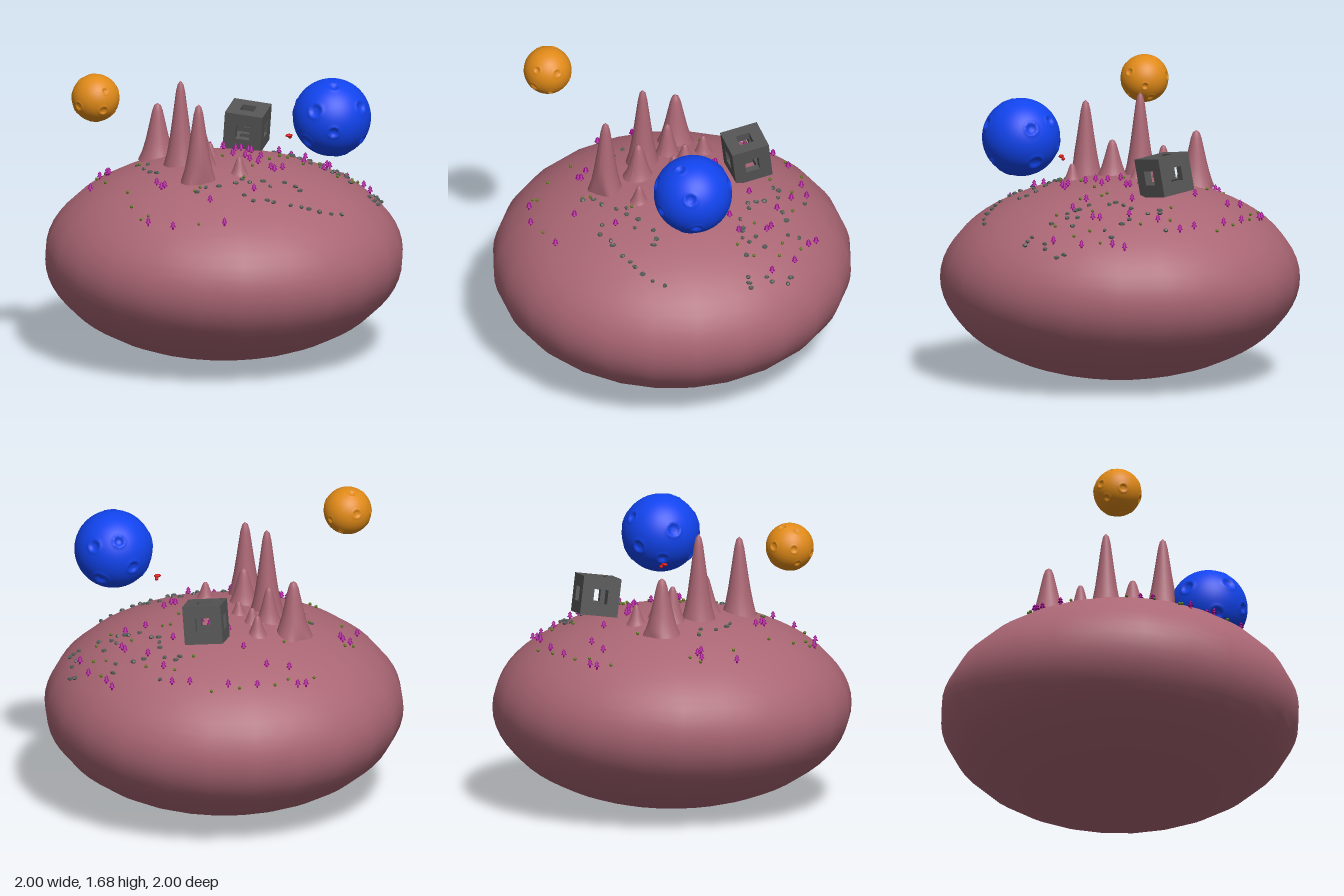
import * as THREE from 'three';
import { mergeVertices } from 'three/addons/utils/BufferGeometryUtils.js';

const HALF = 0.556; // half height of the big ellipsoid
const surfaceY = (x, z) => HALF + HALF * Math.sqrt(Math.max(0, 1 - x * x - z * z));
const mat = (color, extra = {}) => new THREE.MeshStandardMaterial({ color, ...extra });

function add(parent, name, geometry, material, x = 0, y = 0, z = 0) {
  const mesh = new THREE.Mesh(geometry, material);
  mesh.name = name;
  mesh.position.set(x, y, z);
  parent.add(mesh);
  return mesh;
}

// Sphere with rimmed craters pressed into it
const CRATERS = [
  [-0.32, -0.17, 0.93], [0.5, 0.4, 0.77], [-0.7, 0.37, 0.6], [0.59, -0.5, 0.63],
  [0.1, -0.88, 0.4], [-0.85, 0.25, -0.45], [0.24, 0.5, -0.83], [0.78, 0.35, -0.49],
  [0.63, -0.54, -0.56], [-0.6, -0.5, -0.6], [-0.1, -0.2, -0.97], [-0.8, -0.5, 0.3], [-0.1, 0.9, 0.4],
].map((c) => new THREE.Vector3(...c).normalize());

function crateredSphere(radius) {
  let g = new THREE.IcosahedronGeometry(1, 26);
  g.deleteAttribute('normal');
  g.deleteAttribute('uv');
  g = mergeVertices(g);
  const p = g.attributes.position, v = new THREE.Vector3();
  for (let i = 0; i < p.count; i++) {
    v.fromBufferAttribute(p, i).normalize();
    let h = 1;
    CRATERS.forEach((c, k) => {
      const t = v.angleTo(c) / (0.16 + 0.05 * (k % 3) / 2);
      if (t < 0.8) h -= 0.08 * (1 - (t / 0.8) ** 4) - 0.02;
      else if (t < 1.25) h += 0.02 * (1.25 - t) / 0.45;
    });
    v.multiplyScalar(h * radius);
    p.setXYZ(i, v.x, v.y, v.z);
  }
  g.computeVertexNormals();
  return g;
}

// Round-tipped peak with a flared foot; zMin and zMax cut the foot straight
function peakGeometry(r, h, zMin, zMax) {
  const profile = [[1, 0], [0.8, 0.14], [0.64, 0.32], [0.5, 0.52], [0.37, 0.72], [0.27, 0.87], [0.17, 0.96], [0, 1]];
  const g = new THREE.LatheGeometry(profile.map(([a, b]) => new THREE.Vector2(a * r, b * h)), 24);
  const p = g.attributes.position;
  for (let i = 0; i < p.count; i++) p.setZ(i, THREE.MathUtils.clamp(p.getZ(i), zMin, zMax));
  g.computeVertexNormals();
  return g;
}

// Hollow cube: six plates, each with a square window
function windowCube(size, hole, wall, material) {
  const group = new THREE.Group();
  const square = (P, s) => {
    const path = new P();
    path.moveTo(-s, -s).lineTo(s, -s).lineTo(s, s).lineTo(-s, s).closePath();
    return path;
  };
  const shape = square(THREE.Shape, size / 2);
  shape.holes.push(square(THREE.Path, hole / 2));
  const plate = new THREE.ExtrudeGeometry(shape, { depth: wall, bevelEnabled: false });
  plate.translate(0, 0, size / 2 - wall);
  const q = Math.PI / 2;
  [[0, 0], [0, q], [0, 2 * q], [0, -q], [q, 0], [-q, 0]].forEach(([rx, ry]) => {
    add(group, 'cubeFace', plate, material).rotation.set(rx, ry, 0);
  });
  return group;
}

// Ground positions as x, z pairs in hundredths
const TREES = [
  -13, -78, -8, -78, -8, -67, 15, -74, 4, -63, 30, -68, 48, -56, 56, -50, 10, -46, -58, -41, -54, -40,
  -54, -37, -70, -25, 10, -27, 10, -25, 17, -17, 19, -11, 40, -18, 55, -37, 57, -21, 81, -25, 81, -18,
  84, -1, 64, -6, 64, -2, 81, 16, 55, 12, 45, 7, 13, -15, 20, -9, 6, -2, 20, 5, 11, 11, 14, 16, 18, 25,
  19, 28, -47, 17, -47, 24, -45, 24, -64, 47, -54, 59, -29, 52, -28, 71, -2, 50, 11, 4, 25, 25,
];
const PLANTS = [
  -20, -74, -4, -74, 5, -76, 25, -72, 40, -67, -59, -43, -53, -45, -63, -20, -62, 11, -66, 27, -66, 41,
  -62, 42, -41, 65, -29, 37, -41, -24, -15, -46, 0, -2, 5, 13, 24, 8, 9, 20, 34, -2, 38, 0, 43, 11,
  70, 18, 74, -3, 78, 5, 81, -11, 57, 0, 60, 20, 38, -40, 51, -43, 62, -29, -33, 39, -2, 35,
];
const ROCKS = [
  -42, -25, -43, -12, -43, -3, -41, 2, -38, -19, -32, 40, -26, 38, -19, 40, -9, 40, -4, 37, -1, 41, 7, 41,
  9, 47, 19, 43, 24, 47, 25, 51, -9, 53, -6, 59, 2, 60, 5, 62, 14, 65, 20, 66, 24, 67, 30, 68, 37, 68,
  44, 66, 47, -36, 44, -35, 51, -30, 49, -20, 47, -15, 45, -10, 48, -7, 50, 4, 55, 8, 56, 10, 59, 14,
  63, 13, 67, 21, 77, 32, 75, 30, 79, 33, 89, 12, 88, 8, 84, 20, 81, 21, 60, -22, 65, -19, 72, -11,
  63, 7, 70, 8, 76, -16, 60, -43,
];
const eachSpot = (list, fn) => {
  for (let i = 0; i < list.length; i += 2) fn(list[i] / 100, list[i + 1] / 100, i / 2);
};

export function createModel() {
  const model = new THREE.Group();
  const ground = mat(0xaa6674);
  const peakMat = mat(0xaa6674, { side: THREE.DoubleSide });

  // Big flattened globe
  add(model, 'globe', new THREE.SphereGeometry(1, 24, 32), ground, 0, HALF, 0).scale.y = HALF;

  // Two small cratered planets hovering above
  add(model, 'bluePlanet', crateredSphere(0.217), mat(0x1144ee), 0.47, 1.4, 0.44);
  add(model, 'orangePlanet', crateredSphere(0.133), mat(0xe08a18), -0.8, 1.545, 0.08).rotation.set(0.5, 0.9, 0.3);

  // Peaks: x, z, foot radius, tip height, cut of the foot along z
  const peaks = new THREE.Group();
  peaks.name = 'peaks';
  model.add(peaks);
  [
    [-0.25, -0.37, 0.108, 1.36, -0.09, 1], [-0.04, -0.345, 0.06, 1.18, -1, 1], [-0.18, -0.2, 0.075, 1.28, -1, 1],
    [-0.07, -0.215, 0.055, 1.18, -1, 1], [-0.24, -0.05, 0.095, 1.56, -1, 1], [-0.05, -0.085, 0.052, 1.18, -1, 1],
    [-0.165, 0.09, 0.09, 1.3, -1, 1], [-0.26, 0.27, 0.1, 1.5, -1, 0.065], [-0.02, 0.28, 0.057, 1.18, -1, 1],
  ].forEach(([x, z, r, top, zMin, zMax]) => {
    const y = surfaceY(x, z) - 0.015;
    add(peaks, 'peak', peakGeometry(r, top - y, zMin, zMax), peakMat, x, y, z);
  });

  // Tilted hollow cube
  const cube = windowCube(0.215, 0.08, 0.04, mat(0x555555));
  cube.name = 'hollowCube';
  cube.position.set(0.27, 1.19, -0.33);
  cube.rotation.set(0.17, -0.62, 0);
  model.add(cube);

  // Small red craft beside the blue planet
  const red = mat(0xd01515);
  const craft = new THREE.Group();
  craft.name = 'redCraft';
  craft.position.set(0.285, 1.27, 0.26);
  model.add(craft);
  add(craft, 'craftBody', new THREE.SphereGeometry(0.016, 12, 8), red).scale.set(1.3, 0.6, 0.9);
  add(craft, 'craftTail', new THREE.SphereGeometry(0.01, 10, 8), red, 0.012, -0.012, -0.014);

  // Purple trees: trunk with two stacked cones
  const purple = mat(0x990088);
  const trunk = new THREE.CylinderGeometry(0.005, 0.005, 0.03, 6);
  const lower = new THREE.ConeGeometry(0.016, 0.02, 10);
  const upper = new THREE.ConeGeometry(0.012, 0.018, 10);
  eachSpot(TREES, (x, z) => {
    const tree = new THREE.Group();
    tree.name = 'tree';
    tree.position.set(x, surfaceY(x, z), z);
    add(tree, 'trunk', trunk, purple, 0, 0.005, 0);
    add(tree, 'lowerCrown', lower, purple, 0, 0.02, 0);
    add(tree, 'upperCrown', upper, purple, 0, 0.034, 0);
    model.add(tree);
  });

  // Little green plants
  const green = mat(0x5f7a1c);
  const bud = new THREE.SphereGeometry(0.009, 8, 6);
  eachSpot(PLANTS, (x, z) => add(model, 'plant', bud, green, x, surfaceY(x, z) + 0.006, z));

  // Scattered rocks
  const grey = mat(0x555c58, { flatShading: true });
  const stone = new THREE.DodecahedronGeometry(0.016);
  eachSpot(ROCKS, (x, z, i) => {
    const rock = add(model, 'rock', stone, grey, x, surfaceY(x, z) + 0.002, z);
    rock.scale.set(0.8 + 0.15 * (i % 4), 0.7, 0.7 + 0.15 * (i % 3));
    rock.rotation.y = i * 1.7;
  });

  return model;
}
